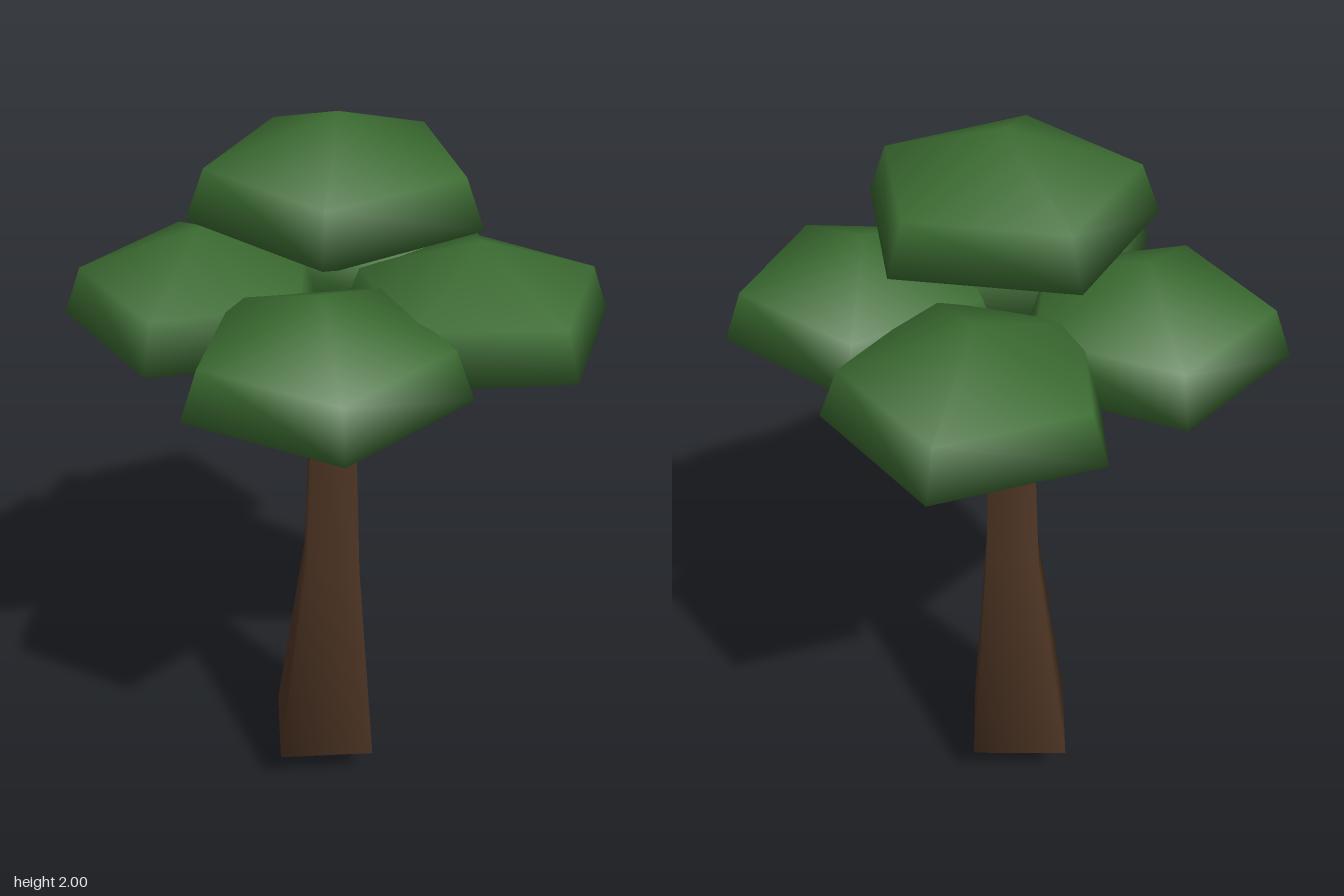
import * as THREE from 'three';
import { mergeVertices } from 'three/addons/utils/BufferGeometryUtils.js';

// Low-sided turned solid with normals smoothed over every edge.
function smoothLathe(profile, sides, startAngle) {
  const points = profile.map(([r, y]) => new THREE.Vector2(r, y));
  let geometry = new THREE.LatheGeometry(points, sides, startAngle);
  geometry.deleteAttribute('normal');
  geometry.deleteAttribute('uv');
  geometry = mergeVertices(geometry, 1e-4);
  geometry.computeVertexNormals();
  return geometry;
}

export function createModel() {
  const tree = new THREE.Group();
  tree.name = 'tree';
  const bark = new THREE.MeshStandardMaterial({ color: 0x4e3524 });
  bark.name = 'bark brown';
  const leaf = new THREE.MeshStandardMaterial({ color: 0x3b6b31 });
  leaf.name = 'leaf green';

  // Four-sided trunk with a pointed foot, flaring base and slight lean
  const trunkGeometry = smoothLathe([[0, 0], [0.187, 0.12], [0.1, 0.75], [0.07, 1.425]], 4, 0);
  const position = trunkGeometry.attributes.position;
  for (let i = 0; i < position.count; i++) {
    const y = position.getY(i);
    const lean = y < 0.75 ? -0.08 + 0.053 * y : -0.04 + 0.015 * (y - 0.75);
    position.setX(i, position.getX(i) - 0.016);
    position.setZ(i, position.getZ(i) + lean);
  }
  trunkGeometry.computeVertexNormals();
  const trunk = new THREE.Mesh(trunkGeometry, bark);
  trunk.name = 'trunk';
  tree.add(trunk);

  // Flat trunk top
  const top = new THREE.Mesh(new THREE.CircleGeometry(0.07, 4), bark);
  top.name = 'trunkTop';
  top.rotation.x = -Math.PI / 2;
  top.position.set(-0.016, 1.425, -0.03);
  tree.add(top);

  // Five-sided leaf clumps: name, x, base height, z, radius, corner angle
  const clumps = [
    ['crownClump', 0.005, 1.595, -0.03, 0.367, 0],
    ['backRightClump', -0.186, 1.29, -0.309, 0.352, 230.4],
    ['frontRightClump', -0.273, 1.29, 0.166, 0.352, 130.2],
    ['backLeftClump', 0.291, 1.29, -0.221, 0.354, -28.7],
    ['frontLeftClump', 0.199, 1.29, 0.257, 0.352, 29.5],
  ];
  for (const [name, x, y, z, radius, angle] of clumps) {
    const profile = [[0, 0], [radius, 0.167], [radius * 0.87, 0.29], [0, 0.402]];
    const start = Math.PI / 2 - THREE.MathUtils.degToRad(angle);
    const clump = new THREE.Mesh(smoothLathe(profile, 5, start), leaf);
    clump.name = name;
    clump.position.set(x, y, z);
    tree.add(clump);
  }
  return tree;
}
